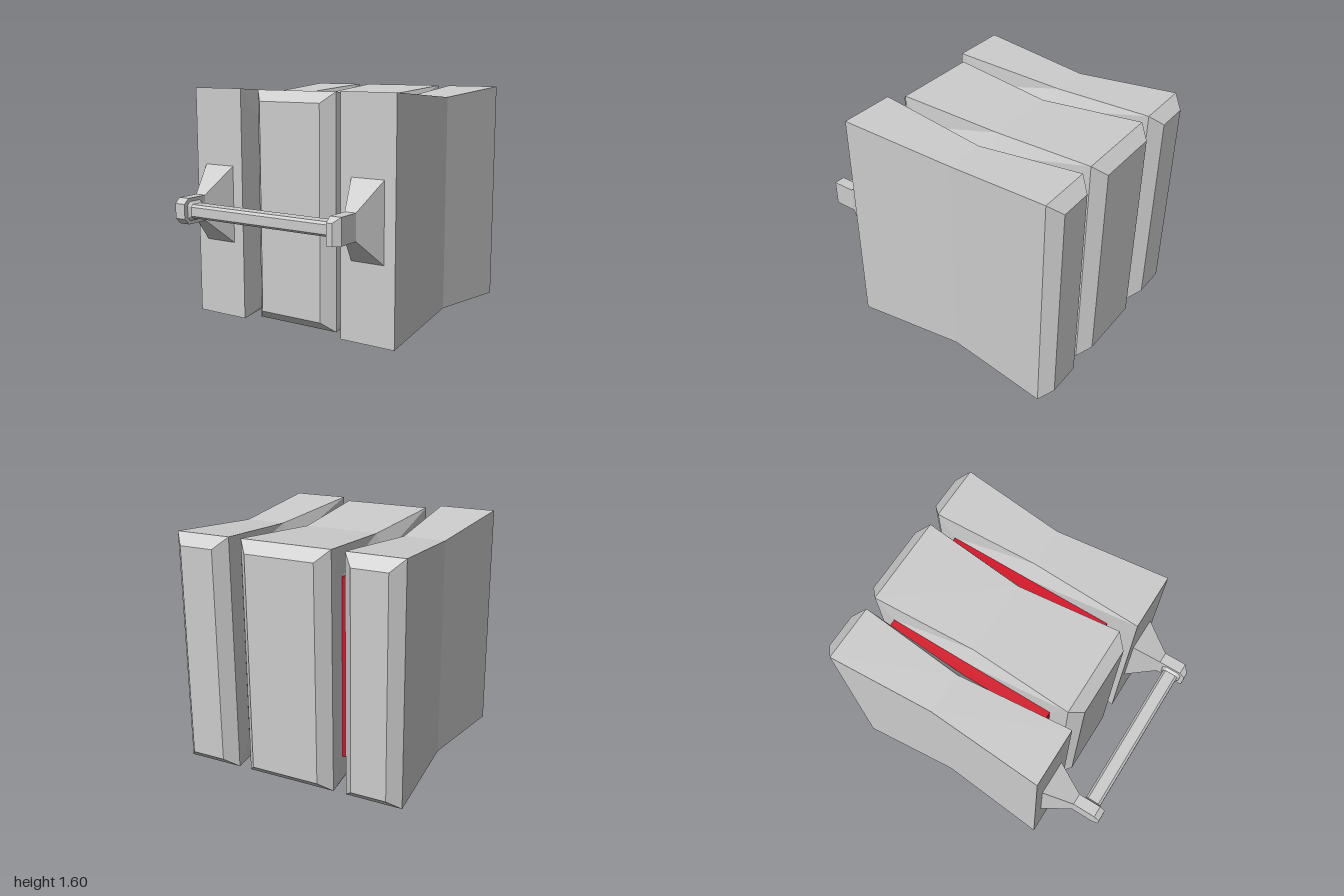
import * as THREE from 'three';

// rectangular cross-section at depth z, corners counter-clockwise from the front
const rect = (z, x0, x1, y0, y1) => [[x0, y0, z], [x1, y0, z], [x1, y1, z], [x0, y1, z]];

// chamfered rectangular cross-section
const octagon = (z, cx, cy, w, h, c) => [
  [-w + c, -h], [w - c, -h], [w, -h + c], [w, h - c], [w - c, h], [-w + c, h], [-w, h - c], [-w, -h + c],
].map(([x, y]) => [cx + x, cy + y, z]);

// Skins cross-sections ordered front to back. Each wall { side, start, x } replaces
// two panels of one side by a ring sloping to a raised rectangle at x.
function loft(sections, walls = []) {
  const pos = [];
  const fan = (p) => {
    for (let i = 1; i < p.length - 1; i++) pos.push(...p[0], ...p[i], ...p[i + 1]);
  };
  const n = sections[0].length;
  fan(sections[0]);
  fan([...sections[sections.length - 1]].reverse());
  for (let i = 0; i < sections.length - 1; i++) {
    const a = sections[i], b = sections[i + 1];
    for (let j = 0; j < n; j++) {
      if (walls.some((w) => w.side === j && (i === w.start || i === w.start + 1))) continue;
      const k = (j + 1) % n;
      fan([a[j], b[j], b[k], a[k]]);
    }
  }
  for (const { side, start, x } of walls) {
    const s = sections.slice(start, start + 3), k = (side + 1) % 4;
    const outer = [...s.map((p) => p[side]), ...s.map((p) => p[k]).reverse()];
    const zs = [0.4, -0.2, -0.8, -0.8, -0.2, 0.4];
    const inner = outer.map((p, i) => [x, p[1] > 0.8 ? 1.4 : 0.2, zs[i]]);
    for (let i = 0; i < 6; i++) {
      const m = (i + 1) % 6;
      fan([outer[i], outer[m], inner[m], inner[i]]);
    }
  }
  const g = new THREE.BufferGeometry();
  g.setAttribute('position', new THREE.Float32BufferAttribute(pos, 3));
  g.computeVertexNormals();
  return g;
}

export function createModel() {
  const model = new THREE.Group();
  const grey = new THREE.MeshStandardMaterial({ color: 0xcccccc });
  grey.name = 'light grey';
  const red = new THREE.MeshStandardMaterial({ color: 0xd61026 });
  red.name = 'red';

  const add = (name, geometry, material = grey) => {
    const mesh = new THREE.Mesh(geometry, material);
    mesh.name = name;
    model.add(mesh);
    return mesh;
  };

  // central block, pinched at the waist and bevelled at both ends
  add('centreBlock', loft([
    rect(0.6, -0.24, 0.24, 0.08, 1.52),
    rect(0.52, -0.315, 0.315, 0.008, 1.592),
    rect(-0.2, -0.263, 0.263, 0.06, 1.54),
    rect(-0.92, -0.315, 0.315, 0.008, 1.592),
    rect(-1, -0.24, 0.24, 0.08, 1.52),
  ], [{ side: 1, start: 1, x: 0.32 }, { side: 3, start: 1, x: -0.32 }]));

  for (const s of [1, -1]) {
    const side = s > 0 ? 'left' : 'right';
    const mirrored = (z, a, b, y0, y1) => (s > 0 ? rect(z, a, b, y0, y1) : rect(z, -b, -a, y0, y1));

    // outer block, flat at the front and bevelled at the back
    add(side + 'Block', loft([
      mirrored(0.6, 0.4, 0.8, 0, 1.6),
      mirrored(-0.2, 0.457, 0.743, 0.06, 1.54),
      mirrored(-0.92, 0.405, 0.795, 0.008, 1.592),
      mirrored(-1, 0.48, 0.72, 0.08, 1.52),
    ], [{ side: s > 0 ? 3 : 1, start: 0, x: 0.4 * s }]));

    // red connector between the blocks
    add(side + 'Connector', new THREE.BoxGeometry(0.08, 1.2, 1.2), red)
      .position.set(0.36 * s, 0.8, -0.2);

    // tapered handle bracket; the tips are chamfered differently
    add(side + 'Bracket', loft([
      s > 0 ? rect(1, 0.56, 0.6, 0.715, 0.855) : rect(1, -0.64, -0.56, 0.755, 0.855),
      mirrored(0.96, 0.56, 0.64, 0.715, 0.89),
      mirrored(0.8, 0.56, 0.64, 0.715, 0.89),
      mirrored(0.6, 0.48, 0.72, 0.535, 1.07),
    ]));
  }

  // handle bar with flared ends, lofted along z and turned to run along x
  const bar = loft([
    octagon(0.565, -0.9, 0.802, 0.075, 0.07, 0.025),
    octagon(0.542, -0.9, 0.802, 0.055, 0.046, 0.016),
    octagon(-0.542, -0.9, 0.802, 0.055, 0.046, 0.016),
    octagon(-0.565, -0.9, 0.802, 0.075, 0.07, 0.025),
  ]);
  add('handleBar', bar.rotateY(Math.PI / 2));

  return model;
}
